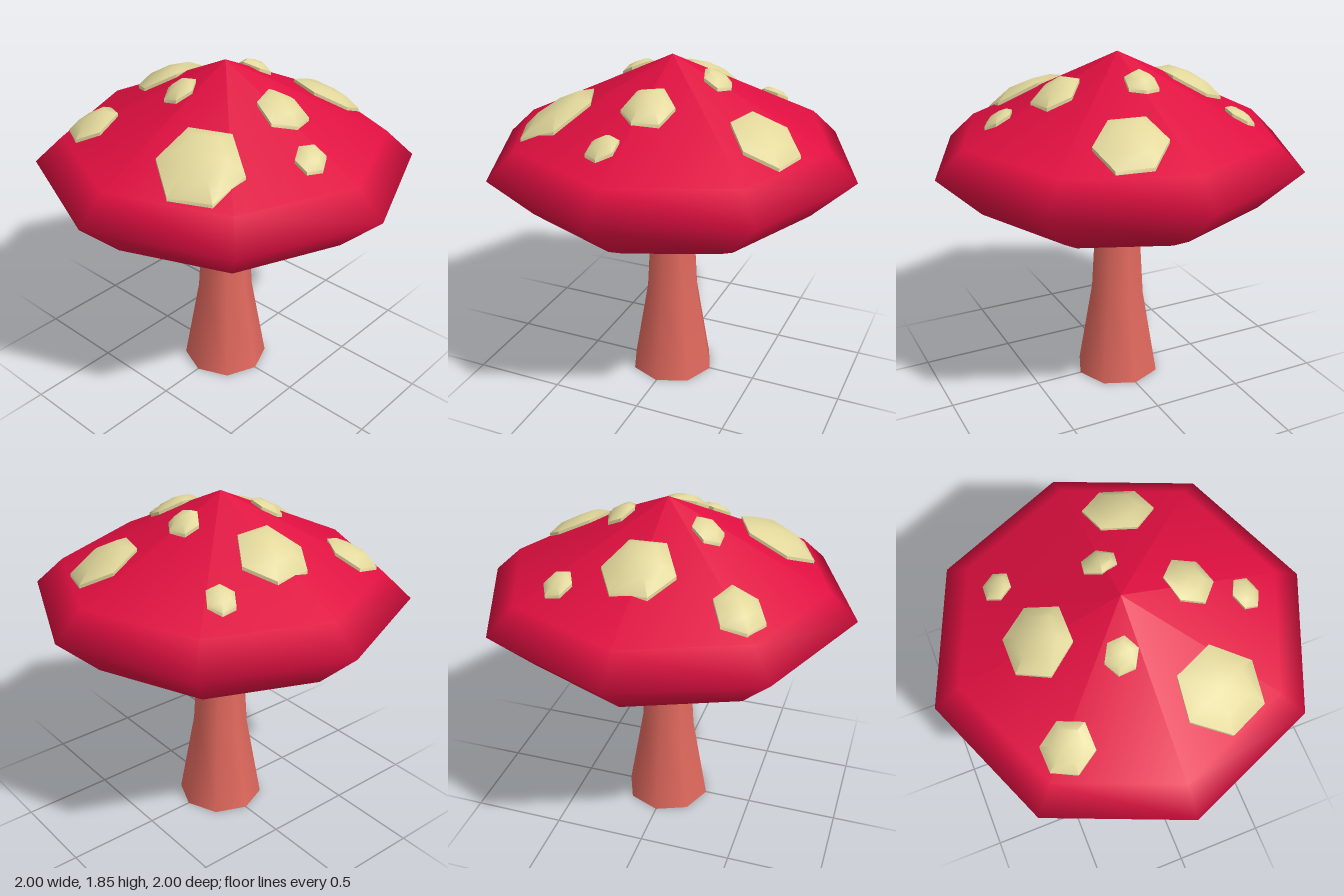
import * as THREE from 'three';
import { toCreasedNormals } from 'three/addons/utils/BufferGeometryUtils.js';

const SIDES = 8;
const APEX = 1.85, SLOPE = (1.85 - 1.44) / 0.85;

function flat(name, color) {
  const m = new THREE.MeshStandardMaterial({ color });
  m.name = name;
  return m;
}

// Eight-sided smooth turned shape, profile listed from bottom to top
function turned(profile) {
  return new THREE.LatheGeometry(profile.map(([r, y]) => new THREE.Vector2(r, y)), SIDES);
}

// Height of the eight-sided cap's upper surface
function capHeight(x, z) {
  let d = 0;
  for (let i = 0; i < SIDES; i++) {
    const a = ((i + 0.5) / SIDES) * Math.PI * 2;
    d = Math.max(d, x * Math.cos(a) + z * Math.sin(a));
  }
  return APEX - SLOPE * (d / Math.cos(Math.PI / SIDES));
}

// Low six-sided dome that follows the cap surface
function spotGeometry(cx, cz, rx, rz, turn) {
  const r = Math.max(rx, rz), n = 6;
  const rings = [[1, -0.03], [1, 0.018], [0.6, 0.032 + 0.12 * r]];
  const pos = [], index = [];
  for (const [s, lift] of rings) {
    for (let i = 0; i < n; i++) {
      const a = (i / n) * Math.PI * 2 + THREE.MathUtils.degToRad(turn);
      const x = cx + Math.cos(a) * rx * s, z = cz + Math.sin(a) * rz * s;
      pos.push(x, capHeight(x, z) + lift, z);
    }
  }
  pos.push(cx, capHeight(cx, cz) + 0.035 + 0.14 * r, cz);
  const top = rings.length * n;
  for (let k = 0; k < rings.length; k++) {
    for (let i = 0; i < n; i++) {
      const j = (i + 1) % n, a = k * n + i, b = k * n + j;
      if (k === rings.length - 1) index.push(a, top, b);
      else index.push(a, a + n, b, b, a + n, b + n);
    }
  }
  const g = new THREE.BufferGeometry();
  g.setAttribute('position', new THREE.Float32BufferAttribute(pos, 3));
  g.setIndex(index);
  return toCreasedNormals(g, 0.8);
}

export function createModel() {
  const red = flat('cap red', 0xdf0f40);
  const pink = flat('stem pink', 0xdf685d);
  const cream = flat('spot cream', 0xe2d89c);
  const model = new THREE.Group();
  model.name = 'mushroom';

  const add = (parent, name, geometry, material) => {
    const mesh = new THREE.Mesh(geometry, material);
    mesh.name = name;
    parent.add(mesh);
    return mesh;
  };

  // Cap with a hollowed underside
  add(model, 'cap', turned([
    [0.08, 1.14], [0.42, 1.09], [0.62, 1.0], [0.77, 1.08],
    [1, 1.3], [0.85, 1.44], [0, APEX],
  ]), red);

  // Flared stem and its base
  add(model, 'stem', turned([[0.237, 0], [0.152, 0.49], [0.122, 1.0], [0.115, 1.18]]), pink);
  add(model, 'stemBase', new THREE.CircleGeometry(0.237, SIDES).rotateX(Math.PI / 2), pink);

  // Spots: x, z, half width, half depth, turn in degrees
  const spots = new THREE.Group();
  spots.name = 'spots';
  model.add(spots);
  [
    [-0.51, 0.31, 0.205, 0.225, 4],
    [0.025, 0.36, 0.135, 0.125, -16],
    [0.58, 0.215, 0.172, 0.185, -12],
    [-0.09, 0.628, 0.085, 0.075, 30],
    [-0.235, -0.09, 0.083, 0.085, 30],
    [0.245, -0.015, 0.078, 0.094, 8],
    [0.015, -0.42, 0.19, 0.173, 0],
    [-0.495, -0.465, 0.128, 0.137, -2],
    [0.4, -0.503, 0.078, 0.077, 3],
  ].forEach((s, i) => add(spots, `spot${i + 1}`, spotGeometry(...s), cream));

  return model;
}
